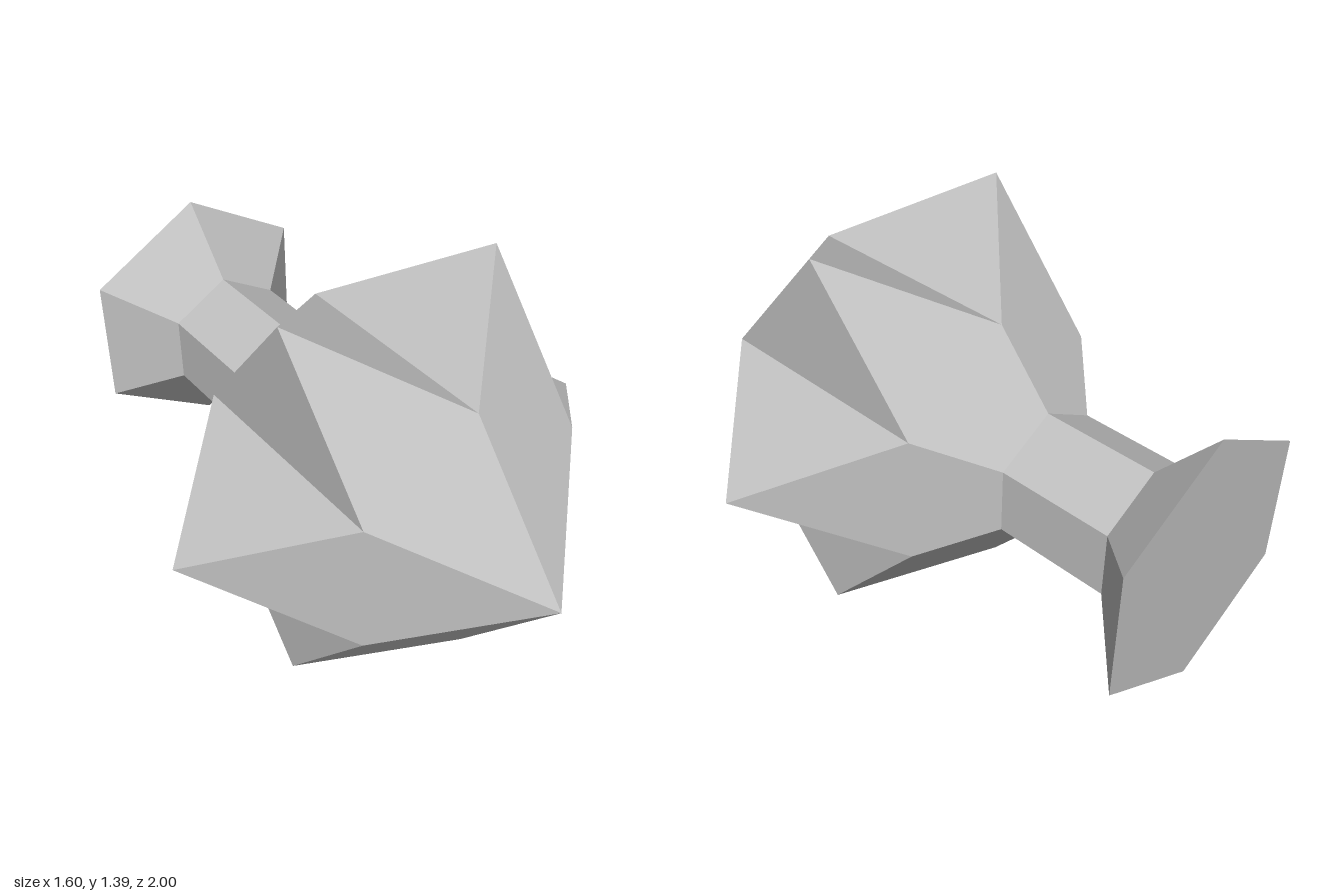
import * as THREE from 'three';

const CY = 0.693; // height of the long axis
const R = 0.8 / Math.sqrt(3); // radius of the valleys between star tips

// Point at an angle (in steps of 30 degrees) around the z axis
const at = (r, step, z) => {
  const a = (step * Math.PI) / 6;
  return [r * Math.cos(a), CY + r * Math.sin(a), z];
};

// Flat-shaded mesh from convex polygons, each fanned into triangles
function facets(name, polygons, material) {
  const pos = [];
  for (const p of polygons)
    for (let i = 1; i < p.length - 1; i++) pos.push(...p[0], ...p[i], ...p[i + 1]);
  const geometry = new THREE.BufferGeometry();
  geometry.setAttribute('position', new THREE.Float32BufferAttribute(pos, 3));
  geometry.computeVertexNormals();
  const mesh = new THREE.Mesh(geometry, material);
  mesh.name = name;
  return mesh;
}

// Six-sided open band between a front ring and a back ring
function band(r0, z0, r1, z1) {
  const quads = [];
  for (let s = 1; s < 12; s += 2)
    quads.push([at(r0, s, z0), at(r1, s, z1), at(r1, s + 2, z1), at(r0, s + 2, z0)]);
  return quads;
}

export function createModel() {
  const group = new THREE.Group();
  const grey = new THREE.MeshStandardMaterial({ color: 0xc0c0c0 });
  grey.name = 'light grey';

  // Star-shaped head: front rhombus, two side triangles and back facet per tip
  const head = [];
  for (let s = 0; s < 12; s += 2) {
    const tip = at(0.8, s, 0.2);
    const f0 = at(R, s - 1, 0.6), f1 = at(R, s + 1, 0.6);
    const b0 = at(R, s - 1, -0.2), b1 = at(R, s + 1, -0.2);
    head.push([at(0, 0, 1), f0, tip, f1]);
    head.push([f1, tip, b1], [tip, f0, b0]);
    head.push([tip, b0, at(R / 2, s - 1, -0.4), at(R / 2, s + 1, -0.4), b1]);
  }
  group.add(facets('starHead', head, grey));

  // Straight neck
  group.add(facets('neck', band(R / 2, -0.4, R / 2, -0.8), grey));

  // Flared base with a flat hexagonal end
  const end = [11, 9, 7, 5, 3, 1].map((s) => at(R, s, -1));
  group.add(facets('flaredBase', [...band(R / 2, -0.8, R, -1), end], grey));

  return group;
}
